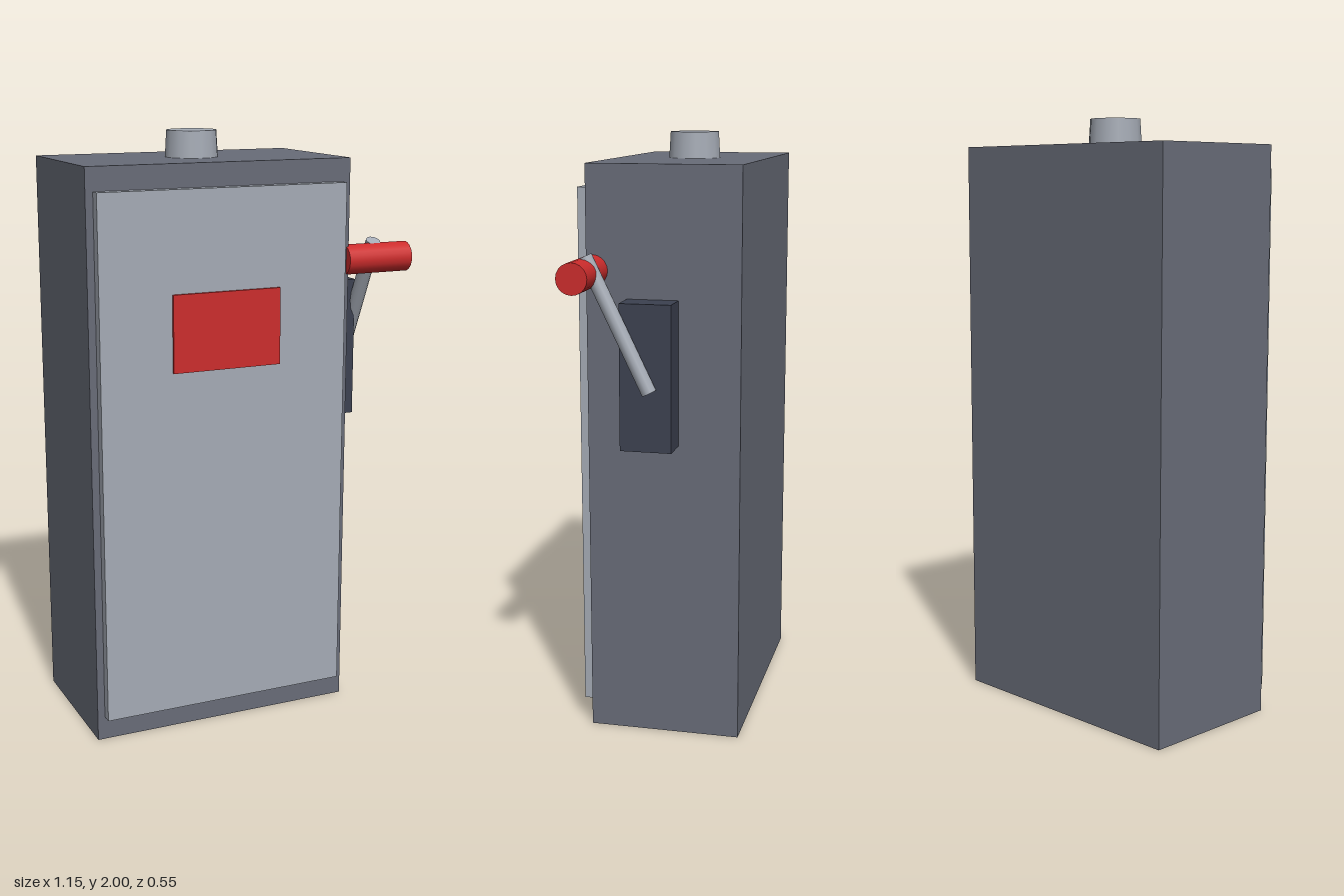
import * as THREE from 'three';

export function createModel() {
  const model = new THREE.Group();
  model.name = 'switchCabinet';

  const mat = (name, color) => {
    const m = new THREE.MeshStandardMaterial({ color });
    m.name = name;
    return m;
  };
  const cabinetGrey = mat('cabinetGrey', 0x686c78);
  const lightGrey = mat('lightGrey', 0xa5abb5);
  const darkSlate = mat('darkSlate', 0x3c4150);
  const red = mat('red', 0xcc2c2c);

  const add = (name, geometry, material, x, y, z) => {
    const mesh = new THREE.Mesh(geometry, material);
    mesh.name = name;
    mesh.position.set(x, y, z);
    model.add(mesh);
    return mesh;
  };
  // Box given by its extents on each axis
  const box = (name, material, [x0, x1], [y0, y1], [z0, z1]) =>
    add(name, new THREE.BoxGeometry(x1 - x0, y1 - y0, z1 - z0), material,
      (x0 + x1) / 2, (y0 + y1) / 2, (z0 + z1) / 2);

  // Enclosure, door and warning plate
  box('cabinet', cabinetGrey, [-0.575, 0.345], [0, 1.912], [-0.28, 0.23]);
  box('door', lightGrey, [-0.55, 0.315], [0.08, 1.835], [0.23, 0.265]);
  box('warningPlate', red, [-0.305, 0.072], [1.25, 1.505], [0.265, 0.274]);

  // Conduit stub on the roof
  add('conduit', new THREE.CylinderGeometry(0.084, 0.09, 0.1, 14), lightGrey, -0.116, 1.95, -0.025);

  // Side switch: housing, tilted lever and grip
  box('switchHousing', darkSlate, [0.345, 0.447], [1.005, 1.483], [-0.075, 0.095]);
  const lever = add('lever', new THREE.CylinderGeometry(0.025, 0.025, 0.475, 12), lightGrey, 0.455, 1.415, 0.098);
  lever.rotation.x = 0.45;
  const grip = add('grip', new THREE.CylinderGeometry(0.051, 0.051, 0.238, 20), red, 0.456, 1.572, 0.209);
  grip.rotation.z = Math.PI / 2;

  return model;
}
